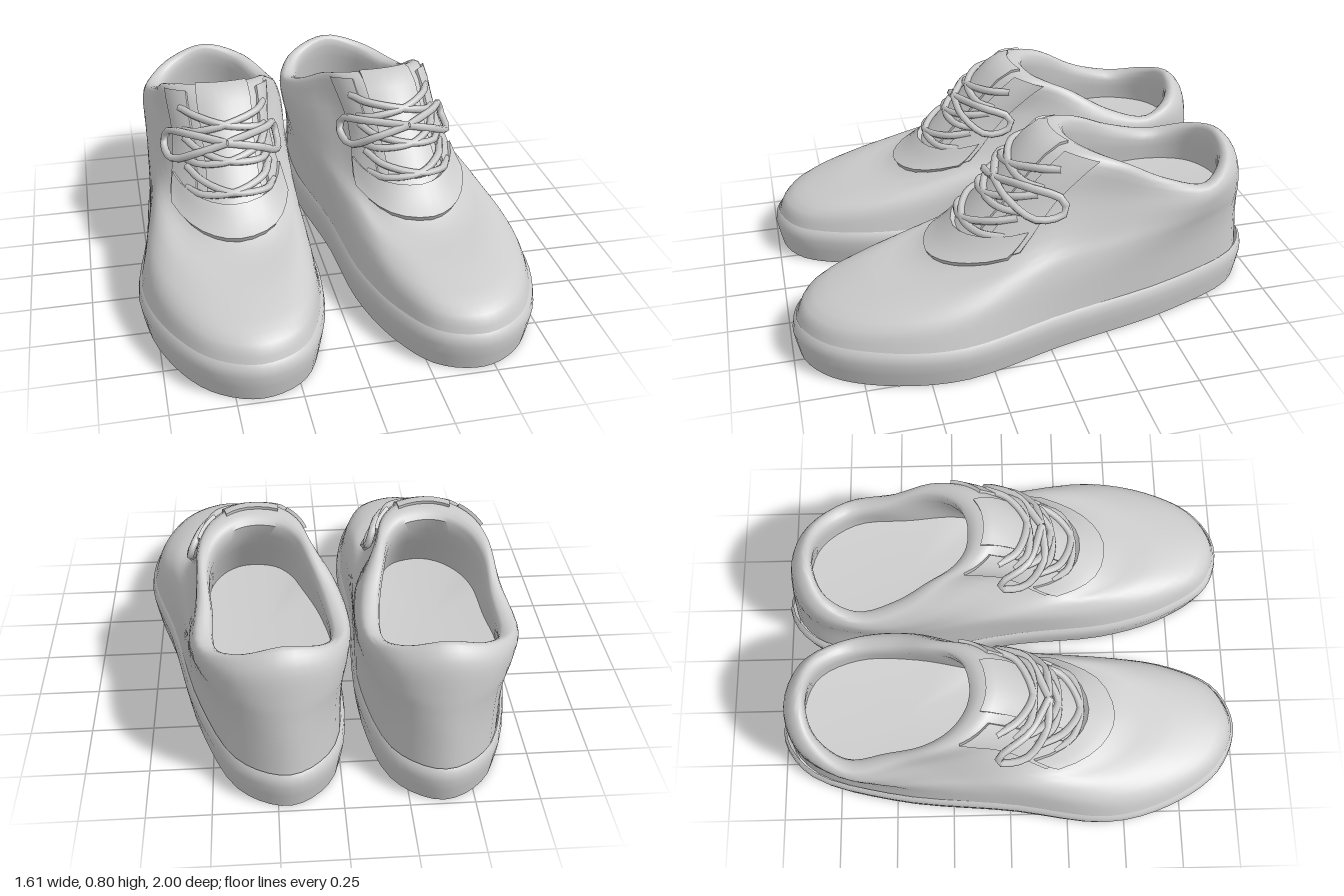
import * as THREE from 'three';
import { toCreasedNormals } from 'three/addons/utils/BufferGeometryUtils.js';

const material = new THREE.MeshStandardMaterial({ color: 0xcccccc, side: THREE.DoubleSide });
const { lerp, clamp } = THREE.MathUtils;
const V = (x, y, z) => new THREE.Vector3(x, y, z);

// Closed foot-shaped loop from heel to toe and back. m: half-width at the heel,
// f, g: outer and inner half-width at the forefoot; then heights at heel, side, throat, toe.
function footLoop(back, front, m, f, g, yHeel, ySide, yThroat, yToe) {
  const at = (k, x, y) => V(x, y, lerp(back, front, k));
  const side = (sign, widths) => [
    at(0.055, sign * widths[0], lerp(yHeel, ySide, 0.5)),
    at(0.24, sign * widths[1], ySide),
    at(0.5, sign * widths[2], lerp(ySide, yThroat, 0.4)),
    at(0.72, sign * widths[3], yThroat),
    at(0.87, sign * widths[4], lerp(yThroat, yToe, 0.6)),
    at(0.965, sign * widths[5], lerp(yThroat, yToe, 0.9)),
  ];
  const outer = side(1, [0.6 * m, m, (m + f) / 2, f, 0.8 * f, 0.47 * f]);
  const inner = side(-1, [0.6 * m, 0.94 * m, 0.93 * m, g, 0.83 * g, 0.5 * g]);
  return new THREE.CatmullRomCurve3(
    [at(0, 0, yHeel), ...outer, at(1, 0.02, yToe), ...inner.reverse()], true);
}

// Loops of the upper: welt, walls, throat, collar, then down to the insole
const UPPER = [
  footLoop(-0.97, 0.985, 0.295, 0.418, 0.295, 0.14, 0.14, 0.14, 0.14),
  footLoop(-0.955, 0.945, 0.3, 0.385, 0.275, 0.3, 0.3, 0.25, 0.22),
  footLoop(-0.945, 0.73, 0.305, 0.335, 0.25, 0.38, 0.39, 0.34, 0.288),
  footLoop(-0.935, 0.44, 0.31, 0.28, 0.225, 0.46, 0.46, 0.43, 0.342),
  footLoop(-0.905, 0.2, 0.31, 0.235, 0.185, 0.6, 0.53, 0.61, 0.55),
  footLoop(-0.85, -0.05, 0.285, 0.245, 0.205, 0.655, 0.565, 0.72, 0.785),
  footLoop(-0.825, -0.155, 0.23, 0.215, 0.18, 0.64, 0.55, 0.68, 0.75),
  footLoop(-0.85, 0.06, 0.235, 0.21, 0.18, 0.44, 0.44, 0.44, 0.42),
];
const TOP = UPPER.length - 1;

// Point on the upper: s counts loops upward, t runs round (heel 0, toe 0.5)
function surface(s, t) {
  const across = new THREE.CatmullRomCurve3(UPPER.map((loop) => loop.getPoint(t)));
  return across.getPoint(s / TOP);
}

// Same point, lifted off the surface
function lifted(s, t, h) {
  const p = surface(s, t);
  const up = surface(s + 0.02, t).sub(p);
  const along = surface(s, t + 0.004).sub(p);
  return p.addScaledVector(up.cross(along).normalize(), h);
}

// Skin over a grid of points; side = -1 mirrors it in x
function skin(grid, side, crease = 0.7) {
  const cols = grid[0].length, pos = [], index = [];
  grid.forEach((row) => row.forEach((p) => pos.push(p.x * side, p.y, p.z)));
  for (let i = 0; i < grid.length - 1; i++) {
    for (let j = 0; j < cols - 1; j++) {
      const a = i * cols + j, b = a + 1, c = a + cols, d = c + 1;
      if (side > 0) index.push(a, c, b, b, c, d);
      else index.push(a, b, c, b, d, c);
    }
  }
  const g = new THREE.BufferGeometry();
  g.setAttribute('position', new THREE.Float32BufferAttribute(pos, 3));
  g.setIndex(index);
  return toCreasedNormals(g, crease);
}

function makeGrid(rows, cols, fn) {
  return Array.from({ length: rows + 1 }, (_, i) =>
    Array.from({ length: cols + 1 }, (_, j) => fn(i / rows, j / cols, i, j)));
}

// Raised panel following the upper, with its border tucked into the surface
function panel(s0, s1, t0, t1, h, side, rows = 8, cols = 8) {
  return skin(makeGrid(rows, cols, (a, b, i, j) => {
    const edge = i === 0 || j === 0 || i === rows || j === cols;
    const s = lerp(s0, s1, clamp((i - 1) / (rows - 2), 0, 1));
    const t = lerp(t0, t1, clamp((j - 1) / (cols - 2), 0, 1));
    return lifted(s, t, edge ? -0.01 : h);
  }), side);
}

// Lace through points [s, t, lift]
function lace(points, side) {
  const path = points.map(([s, t, h]) => lifted(s, t, h).multiply(V(side, 1, 1)));
  return new THREE.TubeGeometry(new THREE.CatmullRomCurve3(path), 20, 0.016, 6);
}

// Sole: one outline stacked at a few heights, closed underneath
function soleGrid() {
  const outline = footLoop(-1, 1, 0.31, 0.43, 0.31, 0, 0, 0, 0);
  const levels = [[0, 0], [0, 0.95], [0.06, 0.98], [0.11, 1], [0.145, 0.985], [0.16, 0.95]];
  return makeGrid(levels.length - 1, 64, (a, t, i) => {
    const p = outline.getPoint(t), [y, k] = levels[i];
    return V(lerp(0.03, p.x, k), y, p.z * (k ? lerp(1, k, 0.4) : 0));
  });
}

function createShoe(side) {
  const shoe = new THREE.Group();
  const add = (name, geometry) => {
    const mesh = new THREE.Mesh(geometry, material);
    mesh.name = name;
    shoe.add(mesh);
  };

  add('sole', skin(soleGrid(), side));

  // Upper with rolled collar and lining, closed by the insole
  const upper = makeGrid(TOP * 4, 64, (a, t) => surface(a * TOP, t));
  add('upper', skin(upper, side, 0.9));
  const rim = upper[TOP * 4];
  add('insole', skin([rim, rim.map(() => V(0, 0.42, -0.4))], side));

  // Lacing area
  add('tongue', panel(3.6, 5.3, 0.43, 0.57, 0.012, side));
  add('throatLip', panel(3.0, 3.5, 0.33, 0.67, 0.025, side, 6, 14));
  add('outerEyestay', panel(3.1, 4.9, 0.32, 0.4, 0.012, side));
  add('innerEyestay', panel(3.1, 4.9, 0.6, 0.68, 0.012, side));

  // Crossed laces
  for (let i = 0; i < 3; i++) {
    const s = 3.65 + i * 0.4;
    for (const d of [-1, 1]) {
      const at = (k, h) => [s + k * 0.15, 0.5 + d * k * 0.13, h];
      add('lace', lace([at(-1, 0.005), at(-0.6, 0.02), at(0, 0.02), at(0.6, 0.02), at(1, 0.005)], side));
    }
  }

  // Bow with a drooping loop on each side
  for (const d of [-1, 1]) {
    const at = (s, k, h) => [s, 0.5 + d * k, h];
    add('bowLoop', lace([at(4.25, 0, 0.035), at(4.1, 0.08, 0.035), at(3.7, 0.17, 0.03),
      at(3.7, 0.21, 0.025), at(4.0, 0.19, 0.03), at(4.3, 0.1, 0.035), at(4.25, 0, 0.035)], side));
  }
  return shoe;
}

export function createModel() {
  const model = new THREE.Group();
  model.name = 'pairOfShoes';
  const left = createShoe(1);
  left.name = 'leftShoe';
  left.position.x = 0.32;
  left.rotation.y = 0.125;
  const right = createShoe(-1);
  right.name = 'rightShoe';
  right.position.x = -0.38;
  model.add(left, right);
  return model;
}
